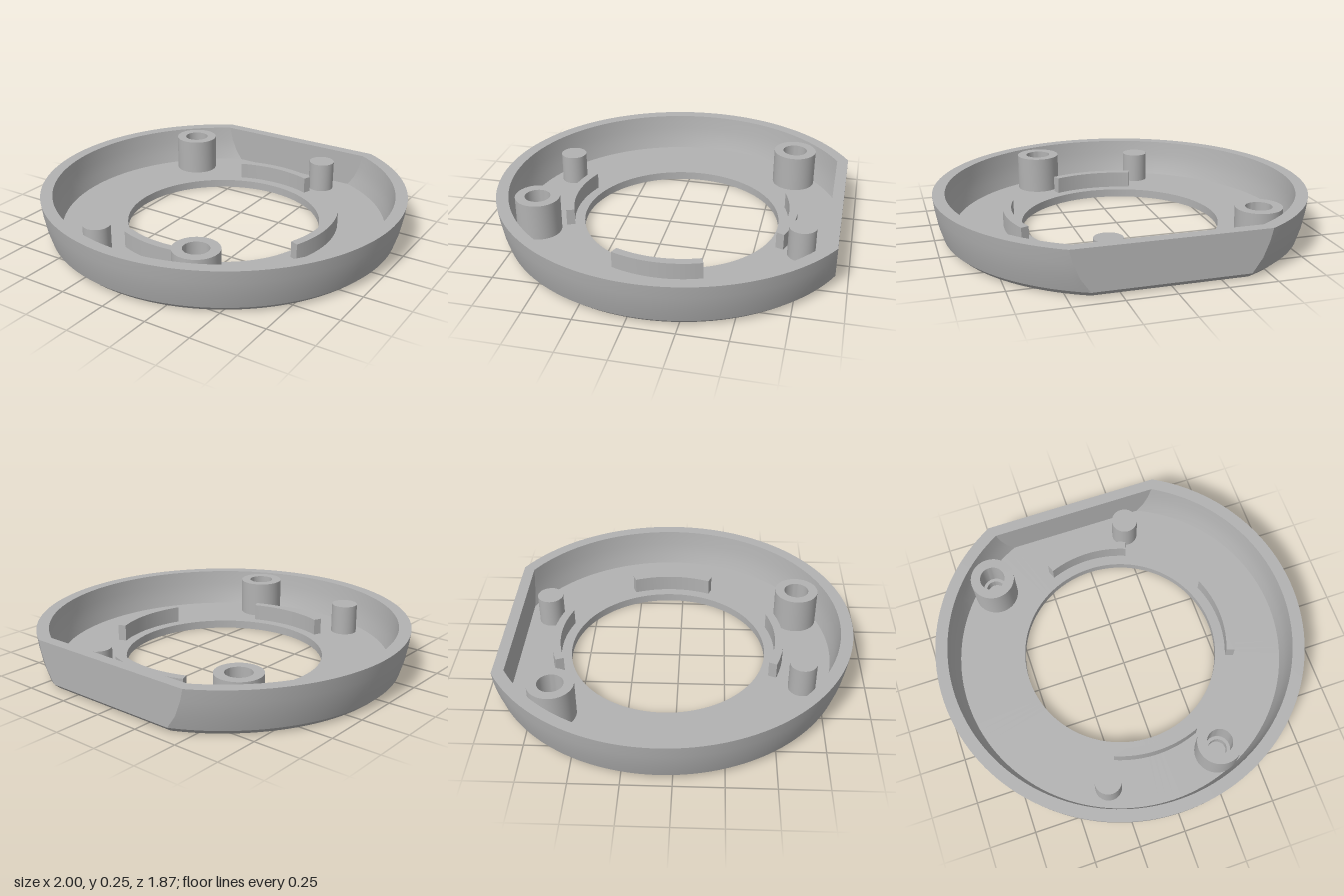
import * as THREE from 'three';
import { toCreasedNormals } from 'three/addons/utils/BufferGeometryUtils.js';

const CZ = -0.065;      // centre of the round outline
const FLOOR = 0.045;    // top of the floor plate
const RIM = 0.245;

// Closed section of the ring: [radius, distance of the rear flat (0 = none), height]
const SECTION = [
  [0.535, 0, 0], [0.535, 0, FLOOR],                                        // centre opening
  [0.895, 0.81, FLOOR], [0.912, 0.81, 0.1], [0.926, 0.81, 0.17], [0.935, 0.81, RIM], // inner wall
  [1, 0.87, RIM], [0.992, 0.87, 0.18], [0.977, 0.87, 0.1], [0.955, 0.87, 0.027],     // outer wall
  [0.925, 0.84, 0],                                                        // bottom chamfer
  [0.735, 0, 0], [0.735, 0, 0.02], [0.712, 0, 0.02], [0.712, 0, 0],        // groove underneath
];

// One level of the shell: a long arc, then the rear flat (or the rest of the circle)
function ringPoints([r, flat, y], arcSteps = 120, flatSteps = 20) {
  const corner = flat ? Math.acos(flat / r) : 0.5;
  const pts = [];
  for (let i = 0; i < arcSteps; i++) {
    const t = corner + (2 * Math.PI - 2 * corner) * i / arcSteps;
    pts.push([r * Math.sin(t), y, CZ - r * Math.cos(t)]);
  }
  for (let i = 0; i < flatSteps; i++) {
    const t = -corner + 2 * corner * i / flatSteps;
    if (flat) pts.push([r * Math.sin(corner) * (2 * i / flatSteps - 1), y, CZ - flat]);
    else pts.push([r * Math.sin(t), y, CZ - r * Math.cos(t)]);
  }
  return pts;
}

function shellGeometry() {
  const rings = SECTION.map((s) => ringPoints(s));
  const n = rings[0].length;
  const pos = [];
  rings.forEach((ring, i) => {
    const next = rings[(i + 1) % rings.length];
    for (let j = 0; j < n; j++) {
      const k = (j + 1) % n;
      pos.push(...ring[j], ...ring[k], ...next[k], ...ring[j], ...next[k], ...next[j]);
    }
  });
  const g = new THREE.BufferGeometry();
  g.setAttribute('position', new THREE.Float32BufferAttribute(pos, 3));
  return toCreasedNormals(g, 0.35);
}

// Curved locating rib around the opening
function ribGeometry(angle) {
  const half = 0.38;
  const shape = new THREE.Shape();
  shape.absarc(0, 0, 0.635, angle - half, angle + half, false);
  shape.absarc(0, 0, 0.59, angle + half, angle - half, true);
  shape.closePath();
  const g = new THREE.ExtrudeGeometry(shape, { depth: 0.1, bevelEnabled: false, curveSegments: 24 });
  g.rotateX(-Math.PI / 2);
  return toCreasedNormals(g, 0.35);
}

// Screw boss with a stepped blind hole
function bossGeometry() {
  const profile = [[0.12, 0.03], [0.12, RIM], [0.068, RIM], [0.068, 0.1], [0.05, 0.1], [0.05, 0.05], [0, 0.05]];
  const g = new THREE.LatheGeometry(profile.map((p) => new THREE.Vector2(...p)), 48);
  return toCreasedNormals(g, 0.5);
}

export function createModel() {
  const model = new THREE.Group();
  model.name = 'housingRing';
  const grey = new THREE.MeshStandardMaterial({ color: 0xb2b2b2 });
  grey.name = 'grey';

  const add = (name, geometry, x = 0, y = 0, z = 0) => {
    const mesh = new THREE.Mesh(geometry, grey);
    mesh.name = name;
    mesh.position.set(x, y, z);
    model.add(mesh);
  };

  add('shell', shellGeometry());

  const ribs = { leftRib: 0, backRib: Math.PI / 2, frontRib: -Math.PI / 2 };
  for (const [name, angle] of Object.entries(ribs)) add(name, ribGeometry(angle), 0, FLOOR - 0.01, CZ);

  const boss = bossGeometry();
  add('backScrewBoss', boss, -0.56, 0, -0.625);
  add('frontScrewBoss', boss, 0.305, 0, 0.655);

  // Plain locating pegs
  const pegTop = 0.21, pegBase = 0.03;
  const peg = new THREE.CylinderGeometry(0.072, 0.072, pegTop - pegBase, 40);
  add('backPeg', peg, 0.26, (pegTop + pegBase) / 2, -0.75);
  add('frontPeg', peg, -0.31, (pegTop + pegBase) / 2, 0.655);

  return model;
}
